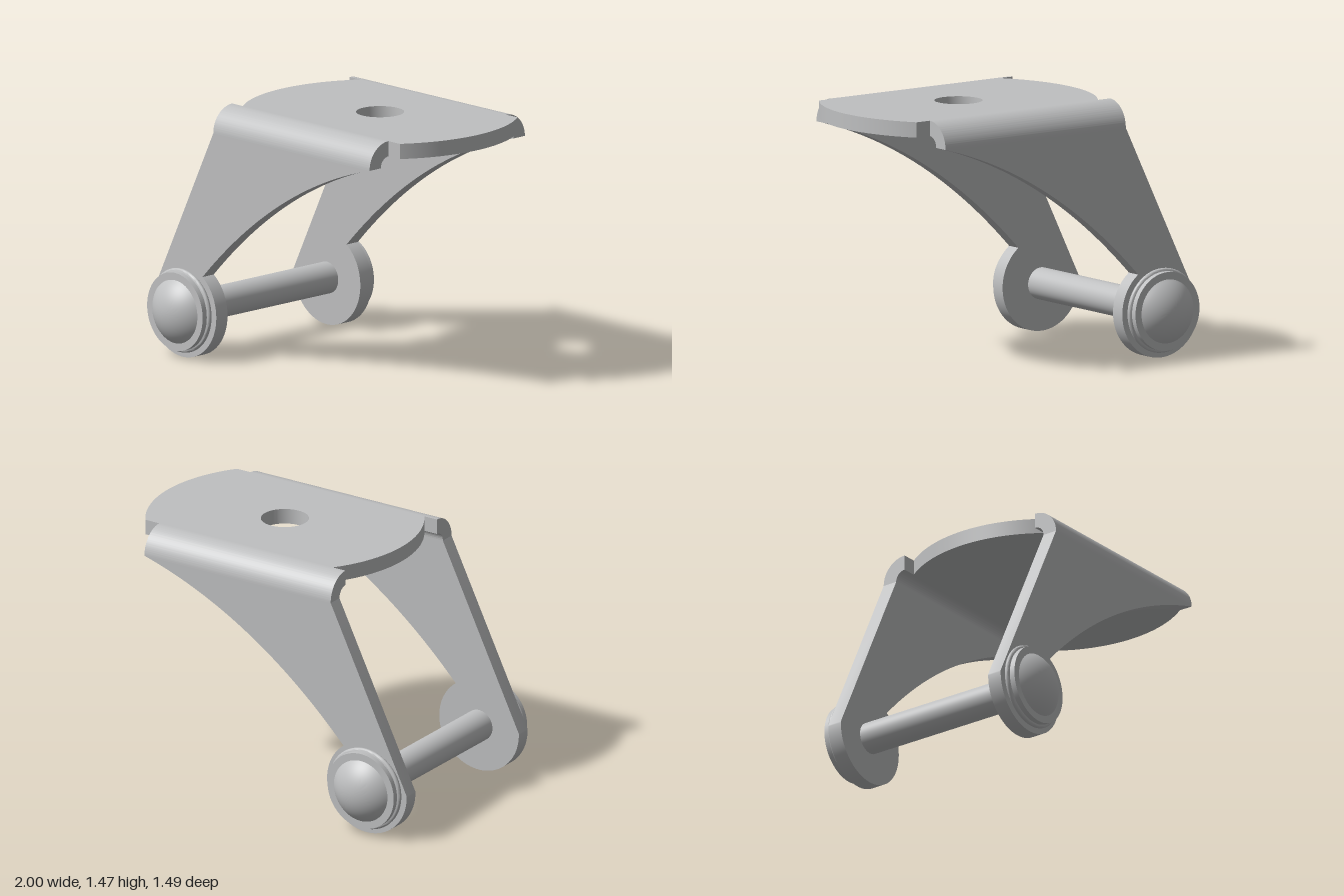
import * as THREE from 'three';
import { toCreasedNormals } from 'three/addons/utils/BufferGeometryUtils.js';

const THICK = 0.087;          // sheet thickness
const TOP = 1.466;            // top of the plate
const BEND_Y = 1.32;          // height of the bend axis
const BEND_Z = 0.455;         // distance of the bend axis from the middle
const OUTER = TOP - BEND_Y;   // outer bend radius
const PIN = { x: -0.733, y: 0.268 };

export function createModel() {
  const model = new THREE.Group();
  const steel = new THREE.MeshStandardMaterial({ color: 0xbfc0c1 });
  steel.name = 'grey steel';

  const add = (name, geometry) => {
    const mesh = new THREE.Mesh(toCreasedNormals(geometry, 0.5), steel);
    mesh.name = name;
    model.add(mesh);
    return mesh;
  };
  const extrude = (shape, depth) =>
    new THREE.ExtrudeGeometry(shape, { depth, bevelEnabled: false, curveSegments: 40 });

  // Top plate: disc cut off straight at both sides, with a round hole
  const r = 0.776, cut = Math.asin(BEND_Z / r);
  const plate = new THREE.Shape();
  plate.absarc(0.223, 0, r, -cut, cut, false);
  plate.absarc(0.223, 0, r, Math.PI - cut, Math.PI + cut, false);
  plate.closePath();
  const hole = new THREE.Path();
  hole.absarc(0.223, 0, 0.134, 0, Math.PI * 2, true);
  plate.holes.push(hole);
  add('topPlate', extrude(plate, THICK).rotateX(-Math.PI / 2).translate(0, TOP - THICK, 0));

  // Side arm outline: slanted edge, round eye at the pin, curved lower edge
  const arm = new THREE.Shape();
  arm.moveTo(-0.49, BEND_Y);
  arm.lineTo(-1, 0.275);
  arm.absarc(PIN.x, 0.267, 0.267, Math.PI, Math.PI * 2 + 0.943, false);
  arm.quadraticCurveTo(0.024, 1.114, 0.76, BEND_Y);
  arm.closePath();

  // Pin head profile: rounded washer, flat disc, dome
  const profile = [[0, 0], [0.225, 0]];
  for (let i = 0; i <= 8; i++) {
    const a = -Math.PI / 2 + (i / 8) * Math.PI;
    profile.push([0.225 + 0.014 * Math.cos(a), 0.015 + 0.014 * Math.sin(a)]);
  }
  profile.push([0.222, 0.03], [0.222, 0.062], [0.18, 0.062]);
  const domeR = 0.237, domeA = Math.asin(0.18 / domeR);
  for (let i = 1; i <= 12; i++) {
    const a = domeA * (1 - i / 12);
    profile.push([domeR * Math.sin(a), 0.145 - domeR + domeR * Math.cos(a)]);
  }
  const points = profile.map(([x, y]) => new THREE.Vector2(Math.max(x, 0), y));

  for (const side of [1, -1]) {
    const label = side > 0 ? 'front' : 'back';
    const outerZ = BEND_Z + OUTER;

    // Arm
    add(label + 'Arm', extrude(arm, THICK).translate(0, 0, side > 0 ? outerZ - THICK : -outerZ));

    // Quarter-round bend joining arm and plate
    const bend = new THREE.Shape();
    const from = side > 0 ? Math.PI / 2 : 0;
    bend.absarc(-side * BEND_Z, BEND_Y, OUTER, from, from + Math.PI / 2, false);
    bend.absarc(-side * BEND_Z, BEND_Y, OUTER - THICK, from + Math.PI / 2, from, true);
    bend.closePath();
    add(label + 'Bend', extrude(bend, 1.25).rotateY(Math.PI / 2).translate(-0.49, 0, 0));

    // Domed pin head
    add(label + 'PinHead', new THREE.LatheGeometry(points, 64)
      .rotateX(side * Math.PI / 2).translate(PIN.x, PIN.y, side * outerZ));
  }

  // Cross pin between the arms
  add('crossPin', new THREE.CylinderGeometry(0.09, 0.09, 1.04, 48)
    .rotateX(Math.PI / 2).translate(PIN.x, PIN.y, 0));

  return model;
}
